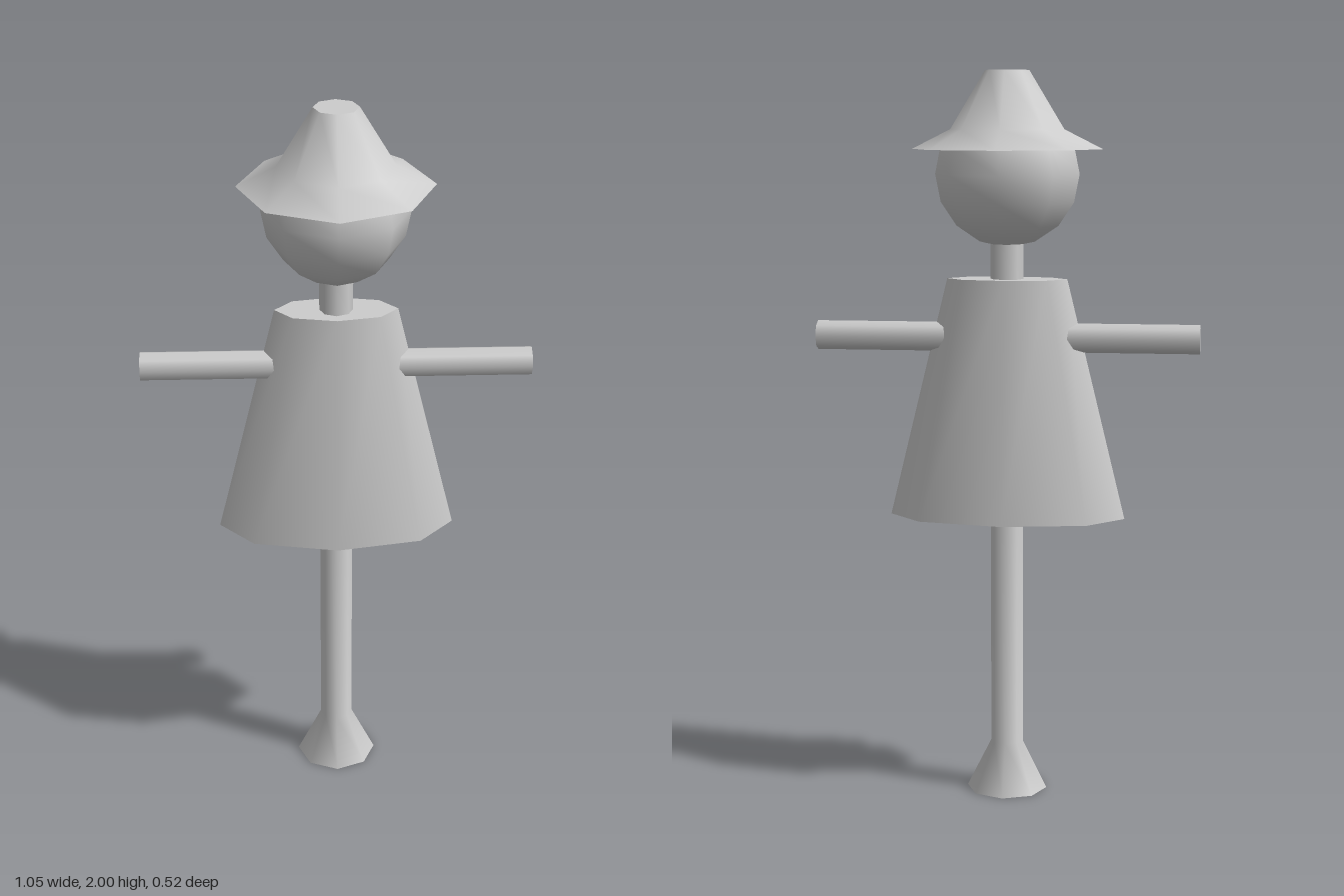
import * as THREE from 'three';
import { toCreasedNormals } from 'three/addons/utils/BufferGeometryUtils.js';

const SIDES = 8;
const material = new THREE.MeshStandardMaterial({ color: 0xcccccc });

function addPart(group, name, geometry) {
  const mesh = new THREE.Mesh(geometry, material);
  mesh.name = name;
  group.add(mesh);
  return mesh;
}

// Eight-sided turned solid: [radius, y] pairs from bottom to top, closed at both ends
function turned(profile) {
  const points = profile.map(([r, y]) => new THREE.Vector2(r, y));
  points.unshift(new THREE.Vector2(0, profile[0][1]));
  points.push(new THREE.Vector2(0, profile[profile.length - 1][1]));
  return toCreasedNormals(new THREE.LatheGeometry(points, SIDES), 0.9);
}

export function createModel() {
  const scarecrow = new THREE.Group();
  scarecrow.name = 'scarecrow';

  // Post with flared foot, running up through the coat to form the neck
  addPart(scarecrow, 'post', turned([[0.112, 0], [0.045, 0.135], [0.045, 1.6]]));

  // Flattened, tapering coat
  const coat = new THREE.CylinderGeometry(0.165, 0.326, 0.66, SIDES);
  coat.scale(1, 1, 0.46);
  coat.translate(0, 1.11, 0);
  addPart(scarecrow, 'coat', coat);

  // Straight arms
  for (const [name, side] of [['leftArm', 1], ['rightArm', -1]]) {
    const arm = new THREE.CylinderGeometry(0.04, 0.04, 0.427, SIDES);
    arm.rotateZ(-side * Math.PI / 2);
    arm.translate(side * 0.3135, 1.28, 0);
    addPart(scarecrow, name, arm);
  }

  // Head
  const head = new THREE.SphereGeometry(0.197, SIDES, 8);
  head.rotateY(Math.PI / 2);
  head.translate(0, 1.723, 0);
  addPart(scarecrow, 'head', head);

  // Hat with sloping brim and flat-topped crown
  addPart(scarecrow, 'hat', turned([[0.26, 1.79], [0.155, 1.843], [0.06, 2]]));

  return scarecrow;
}
